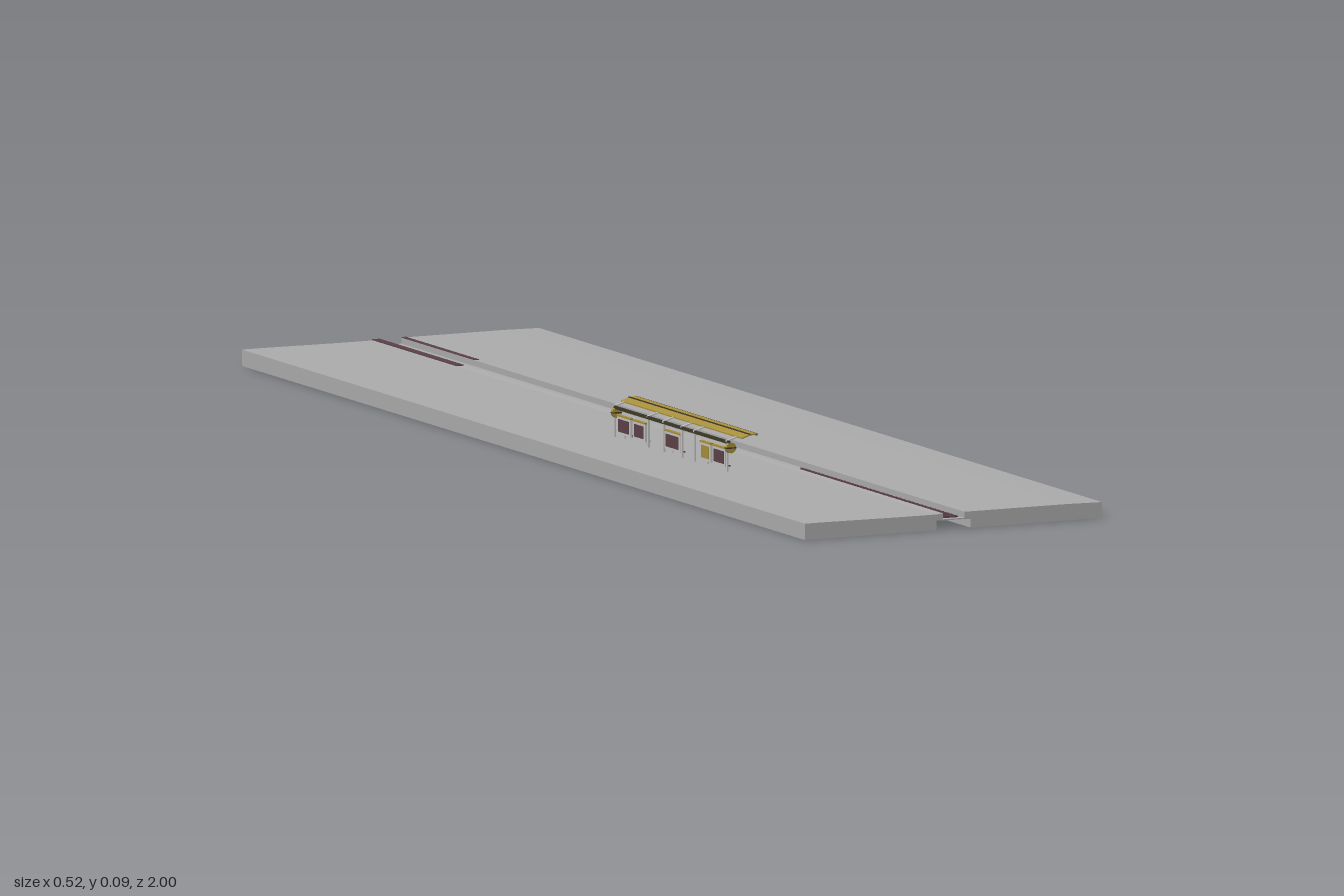
import * as THREE from 'three';

const mat = (name, color, side = THREE.FrontSide) => {
  const m = new THREE.MeshStandardMaterial({ color, side });
  m.name = name;
  return m;
};

export function createModel() {
  const root = new THREE.Group();
  root.name = 'stationPlatforms';
  const concrete = mat('concrete grey', 0xadadad);
  const rust = mat('rusty purple brown', 0x5c4148);
  const gold = mat('roof gold', 0xa8903c);
  const dark = mat('dark trim', 0x3f3926);
  const steel = mat('pale steel', 0xc4c4c4);

  const box = (parent, name, material, x0, x1, y0, y1, z0, z1) => {
    const mesh = new THREE.Mesh(new THREE.BoxGeometry(x1 - x0, y1 - y0, z1 - z0), material);
    mesh.position.set((x0 + x1) / 2, (y0 + y1) / 2, (z0 + z1) / 2);
    mesh.name = name;
    parent.add(mesh);
    return mesh;
  };

  // Extrude an xy cross-section along z
  const extrude = (parent, name, material, pts, z0, z1) => {
    const shape = new THREE.Shape(pts.map(([x, y]) => new THREE.Vector2(x, y)));
    const geo = new THREE.ExtrudeGeometry(shape, { depth: z1 - z0, bevelEnabled: false });
    const mesh = new THREE.Mesh(geo, material);
    mesh.position.z = z0;
    mesh.name = name;
    parent.add(mesh);
    return mesh;
  };

  // Two platforms with lips overhanging the track channel
  extrude(root, 'rightPlatform', concrete, [
    [-0.26, 0], [-0.03, 0], [-0.03, 0.015], [-0.018, 0.015], [-0.018, 0.026],
    [-0.03, 0.025], [-0.09, 0.025], [-0.22, 0.026], [-0.26, 0.026],
  ], -1, 1);
  extrude(root, 'leftPlatform', concrete, [
    [0.26, 0], [0.26, 0.025], [0.2, 0.026], [0.019, 0.026], [0.019, 0.014], [0.03, 0.014], [0.03, 0],
  ], -1, 1);

  // Thin channel floor
  box(root, 'channelFloor', concrete, -0.019, 0.02, 0.0145, 0.0165, -1, 1);

  // Front track: bed, rails and sleepers
  const track = new THREE.Group();
  track.name = 'frontTrack';
  root.add(track);
  box(track, 'trackBed', rust, -0.014, 0.014, 0.0165, 0.0175, 0.44, 0.99);
  for (const x of [-0.009, 0.009]) box(track, 'rail', rust, x - 0.001, x + 0.001, 0.0175, 0.0195, 0.44, 0.99);
  for (let i = 0; i < 36; i++) {
    const z = 0.445 + i * 0.0153;
    box(track, 'sleeper', rust, -0.014, 0.014, 0.0175, 0.0185, z, z + 0.005);
  }

  // Edge strips at the back of both platforms
  box(root, 'rightEdgeStrip', rust, -0.032, -0.019, 0.0255, 0.027, -1, -0.7);
  box(root, 'leftEdgeStrip', rust, 0.019, 0.027, 0.0255, 0.027, -1, -0.74);

  // Shelter
  const shelter = new THREE.Group();
  shelter.name = 'shelter';
  root.add(shelter);
  const Z0 = 0.05, Z1 = 0.48;

  // Roof sheet with dark edges
  extrude(shelter, 'roof', gold, [
    [-0.114, 0.0785], [-0.1, 0.083], [-0.088, 0.084], [-0.088, 0.086], [-0.1, 0.085], [-0.114, 0.0805],
  ], Z0, Z1);
  box(shelter, 'roofRidge', dark, -0.1015, -0.0985, 0.083, 0.0858, Z0, Z1);
  box(shelter, 'roofFrontTrim', dark, -0.0885, -0.0872, 0.0825, 0.086, Z0, Z1);
  box(shelter, 'backBeam', dark, -0.132, -0.129, 0.07, 0.075, Z0 + 0.01, Z1 - 0.01);

  // Posts and sloping roof arms
  for (const z of [0.06, 0.18, 0.235, 0.3, 0.345, 0.46]) {
    box(shelter, 'post', steel, -0.1315, -0.1285, 0.025, 0.075, z - 0.002, z + 0.002);
    extrude(shelter, 'roofArm', steel, [
      [-0.132, 0.072], [-0.1, 0.0825], [-0.1, 0.084], [-0.132, 0.075],
    ], z - 0.002, z + 0.002);
  }

  // Framed boards: [z start, z end, face material]
  const boards = [[0.41, 0.455, rust], [0.365, 0.403, gold], [0.24, 0.295, rust], [0.128, 0.17, rust], [0.07, 0.118, rust]];
  for (const [a, b, face] of boards) {
    box(shelter, 'boardFrame', steel, -0.131, -0.127, 0.032, 0.06, a, b);
    box(shelter, 'boardFace', face, -0.1275, -0.1262, 0.036, 0.056, a + 0.005, b - 0.005);
    box(shelter, 'boardBack', face, -0.1318, -0.1305, 0.036, 0.056, a + 0.005, b - 0.005);
    box(shelter, 'boardRail', gold, -0.132, -0.126, 0.06, 0.0625, a, b);
  }

  // Benches in front of the boards
  for (const [a, b] of [[0.37, 0.45], [0.245, 0.29], [0.075, 0.165]]) {
    box(shelter, 'benchSeat', dark, -0.126, -0.119, 0.0315, 0.033, a, b);
    for (const z of [a + 0.006, b - 0.006]) box(shelter, 'benchLeg', steel, -0.1235, -0.1215, 0.025, 0.0315, z - 0.0015, z + 0.0015);
  }

  // Round hanging signs at both ends
  for (const z of [0.062, 0.468]) {
    const disc = new THREE.Mesh(new THREE.CylinderGeometry(0.0085, 0.0085, 0.006, 12), gold);
    disc.rotation.x = Math.PI / 2;
    disc.position.set(-0.128, 0.064, z);
    disc.name = 'roundSign';
    shelter.add(disc);
    box(shelter, 'signBand', dark, -0.1365, -0.1195, 0.063, 0.065, z - 0.0035, z + 0.0035);
  }
  return root;
}
